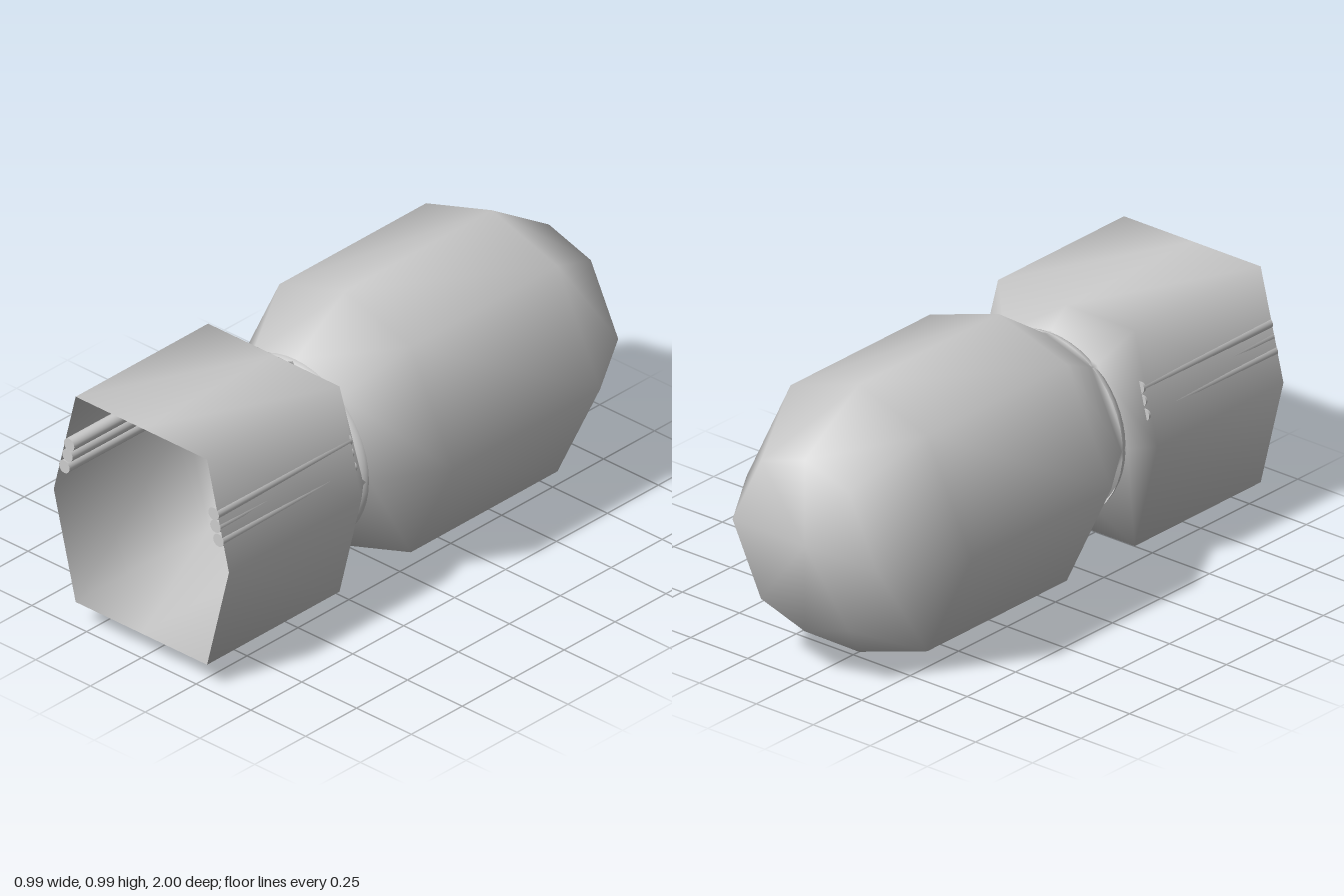
import * as THREE from 'three';

const material = new THREE.MeshStandardMaterial({ color: 0xcccccc, side: THREE.DoubleSide });
const CY = 0.5; // height of the long axis

function add(group, name, geometry) {
  const mesh = new THREE.Mesh(geometry, material);
  mesh.name = name;
  group.add(mesh);
  return mesh;
}

// Eight-point section: four points on the axes, four on the diagonals
function section(axis, diagonal) {
  const dx = 0.6 * diagonal, dy = 0.8 * diagonal;
  return [[axis, 0], [dx, dy], [0, axis], [-dx, dy], [-axis, 0], [-dx, -dy], [0, -axis], [dx, -dy]];
}

// Smooth skin through rings [z, axis radius, diagonal radius], closed at the last ring
function loft(rings) {
  const positions = [], index = [], n = 8;
  for (const [z, axis, diagonal] of rings)
    for (const [x, y] of section(axis, diagonal)) positions.push(x, CY + y, z);
  for (let i = 0; i < rings.length - 1; i++)
    for (let j = 0; j < n; j++) {
      const a = i * n + j, b = i * n + (j + 1) % n;
      index.push(a, a + n, b, b, a + n, b + n);
    }
  const last = (rings.length - 1) * n;
  positions.push(0, CY, rings[rings.length - 1][0]);
  for (let j = 0; j < n; j++) index.push(last + j, last + n, last + (j + 1) % n);
  const geometry = new THREE.BufferGeometry();
  geometry.setAttribute('position', new THREE.Float32BufferAttribute(positions, 3));
  geometry.setIndex(index);
  geometry.computeVertexNormals();
  return geometry;
}

export function createModel() {
  const model = new THREE.Group();
  model.name = 'model';

  // Open hexagonal tube, narrow neck, and faceted body with a flat rear end
  add(model, 'shell', loft([
    [1, 0.4, 0.5],
    [0.35, 0.4, 0.5],
    [0.27, 0.335, 0.338],
    [0.24, 0.335, 0.338],
    [0, 0.495, 0.5],
    [-0.72, 0.495, 0.5],
    [-1, 0.317, 0.32],
  ]));

  // Shallow dome set in the neck
  const dome = new THREE.SphereGeometry(0.337, 48, 16, 0, Math.PI * 2, 0, Math.PI / 2);
  dome.rotateX(Math.PI / 2);
  dome.scale(1, 1, 0.33);
  dome.translate(0, CY, 0.245);
  add(model, 'dome', dome);

  // Three thin rods along each inner wall, leaning slightly inwards to the rear
  for (const side of [1, -1]) {
    const rods = new THREE.Group();
    rods.name = side > 0 ? 'leftRods' : 'rightRods';
    for (const [x, y] of [[0.33, 0.7], [0.338, 0.655], [0.352, 0.606]]) {
      const rod = new THREE.CylinderGeometry(0.024, 0.024, 0.66, 20);
      rod.rotateX(Math.PI / 2);
      rod.rotateY(side * 0.006);
      rod.translate(side * (x - 0.002), y, 0.67);
      add(rods, 'rod', rod);
    }
    model.add(rods);
  }
  return model;
}
